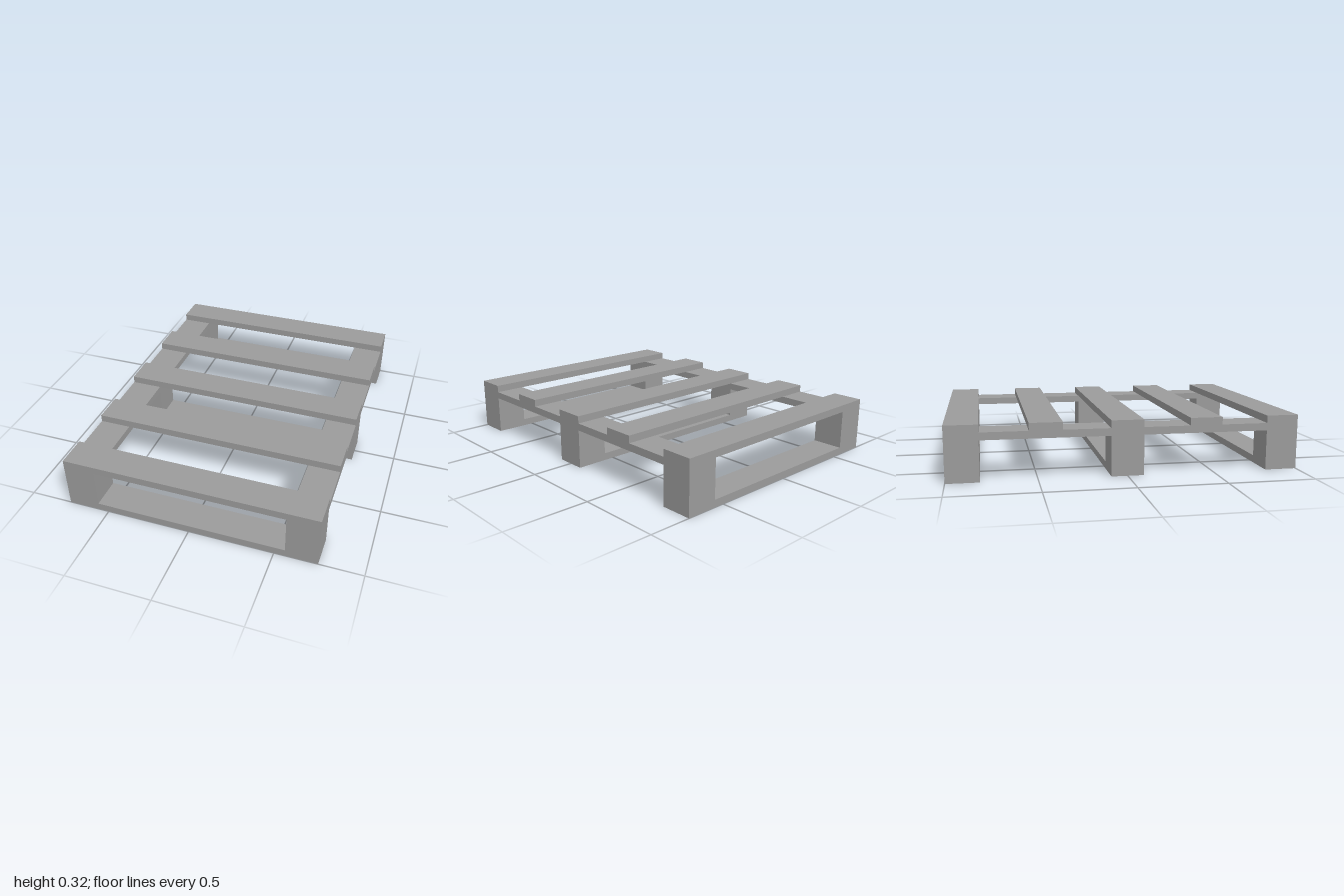
import * as THREE from 'three';

const WIDTH = 1.496;
const LENGTH = 2;
const PLANK = 0.186;   // plank and block width
const THICK = 0.043;   // plank thickness
const BLOCK = 0.188;   // block height

export function createModel() {
  const pallet = new THREE.Group();
  pallet.name = 'pallet';
  const wood = new THREE.MeshStandardMaterial({ color: 0x9b9b9b });

  // Adds a box whose underside sits at height y
  function addBox(name, w, h, d, x, y, z) {
    const mesh = new THREE.Mesh(new THREE.BoxGeometry(w, h, d), wood);
    mesh.name = name;
    mesh.position.set(x, y + h / 2, z);
    pallet.add(mesh);
  }

  const sideX = (WIDTH - PLANK) / 2;
  const endZ = (LENGTH - PLANK) / 2;
  const stringerY = THICK + BLOCK;
  const deckY = stringerY + THICK;

  // Three bottom planks, each carrying a block at both ends
  for (const row of [-1, 0, 1]) {
    addBox('bottomPlank', WIDTH, THICK, PLANK, 0, 0, row * endZ);
    for (const side of [-1, 1]) {
      addBox('block', PLANK, BLOCK, PLANK, side * sideX, THICK, row * endZ);
    }
  }

  // Lengthwise stringers on top of the blocks
  for (const side of [-1, 1]) {
    addBox(side > 0 ? 'leftStringer' : 'rightStringer', PLANK, THICK, LENGTH, side * sideX, stringerY, 0);
  }

  // Five evenly spaced deck planks
  for (let i = -2; i <= 2; i++) {
    addBox('deckPlank', WIDTH, THICK, PLANK, 0, deckY, (i / 2) * endZ);
  }

  return pallet;
}
